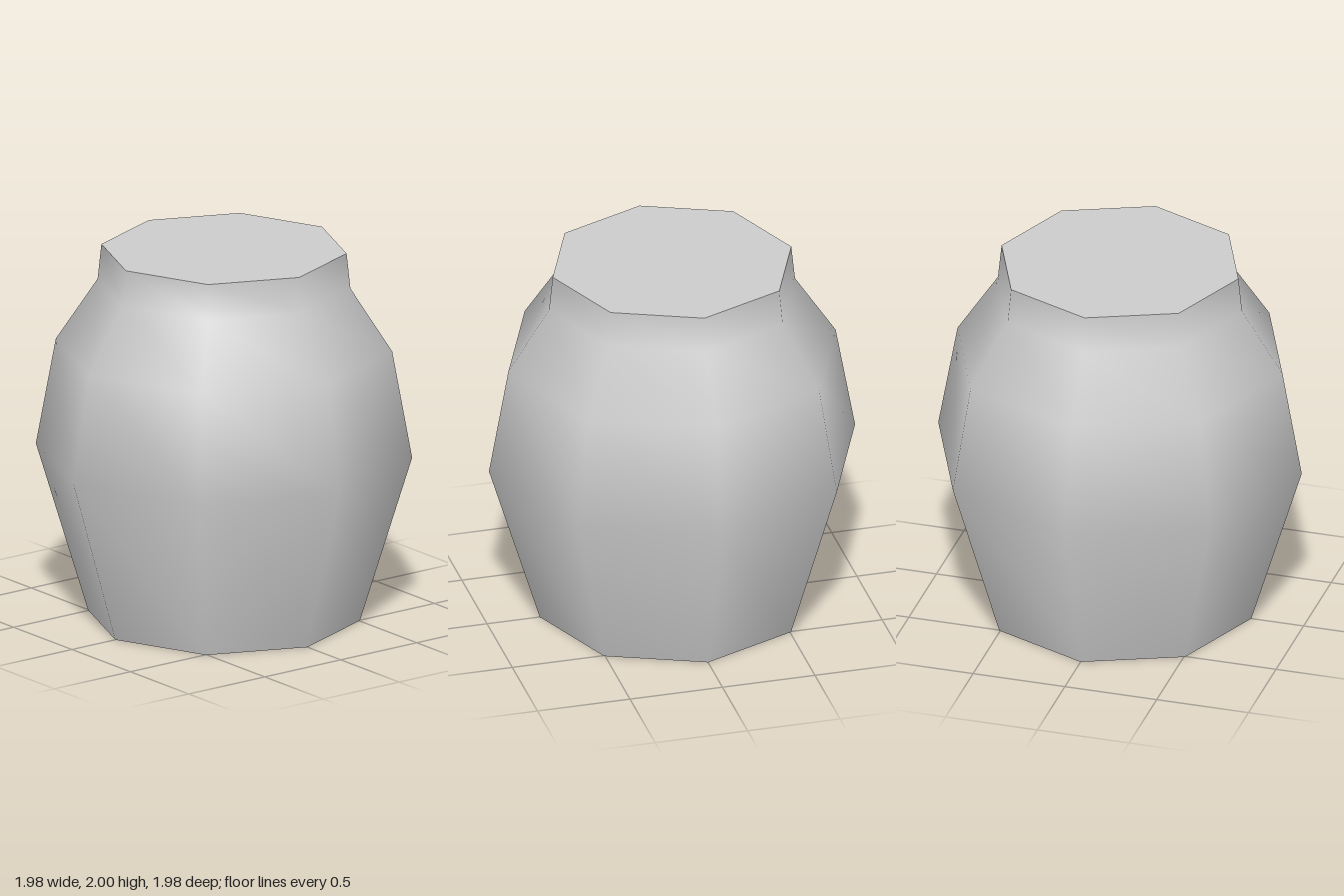
import * as THREE from 'three';

const SIDES = 8;
// radius, height from foot to rim
const PROFILE = [[0.715, 0], [0.99, 0.9], [0.885, 1.475], [0.665, 1.81], [0.645, 2]];

export function createModel() {
  const group = new THREE.Group();
  group.name = 'jar';
  const clay = new THREE.MeshStandardMaterial({ color: 0xcccccc });
  clay.name = 'light grey';

  function add(name, geometry) {
    const mesh = new THREE.Mesh(geometry, clay);
    mesh.name = name;
    group.add(mesh);
    return mesh;
  }

  // smooth-shaded octagonal wall
  add('body', new THREE.LatheGeometry(PROFILE.map(([r, y]) => new THREE.Vector2(r, y)), SIDES));

  // flat closed ends with crisp edges
  const [footRadius] = PROFILE[0];
  const [rimRadius, rimHeight] = PROFILE[PROFILE.length - 1];
  add('base', new THREE.CircleGeometry(footRadius, SIDES).rotateX(Math.PI / 2));
  add('top', new THREE.CircleGeometry(rimRadius, SIDES).rotateX(-Math.PI / 2)).position.y = rimHeight;

  return group;
}
